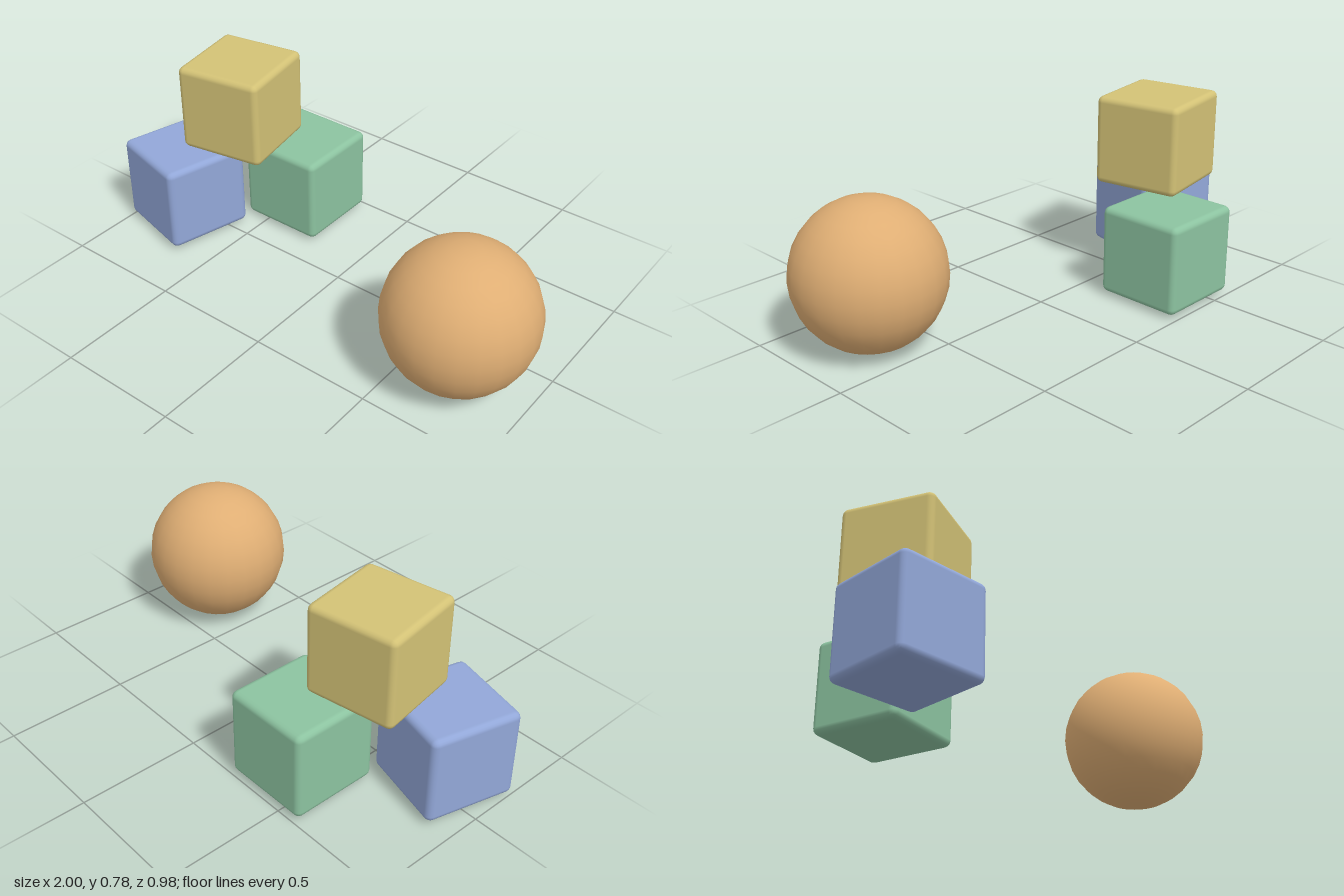
import * as THREE from 'three';
import { RoundedBoxGeometry } from 'three/addons/geometries/RoundedBoxGeometry.js';

function material(name, color) {
  const m = new THREE.MeshStandardMaterial({ color });
  m.name = name;
  return m;
}

export function createModel() {
  const model = new THREE.Group();
  model.name = 'toyBlocksAndBall';

  // Three soft-edged blocks: two on the floor, one stacked across them
  const size = 0.37;
  const blockGeometry = new RoundedBoxGeometry(size, size, size, 2, 0.026);
  const blocks = [
    ['blueBlock', 0x92a7d8, [-0.782, 0.2, 0.062], -0.25],
    ['greenBlock', 0x8cc3a0, [-0.413, 0.2, -0.306], 0],
    ['yellowBlock', 0xd3c276, [-0.585, 0.596, -0.105], 0.17],
  ];
  for (const [name, color, position, turn] of blocks) {
    const block = new THREE.Mesh(blockGeometry, material(name + 'Paint', color));
    block.name = name;
    block.position.set(...position);
    block.rotation.y = turn;
    model.add(block);
  }

  // Ball beside the stack
  const ball = new THREE.Mesh(
    new THREE.SphereGeometry(0.296, 24, 16),
    material('ballOrange', 0xdfae74)
  );
  ball.name = 'ball';
  ball.position.set(0.703, 0.297, 0.194);
  model.add(ball);

  return model;
}
